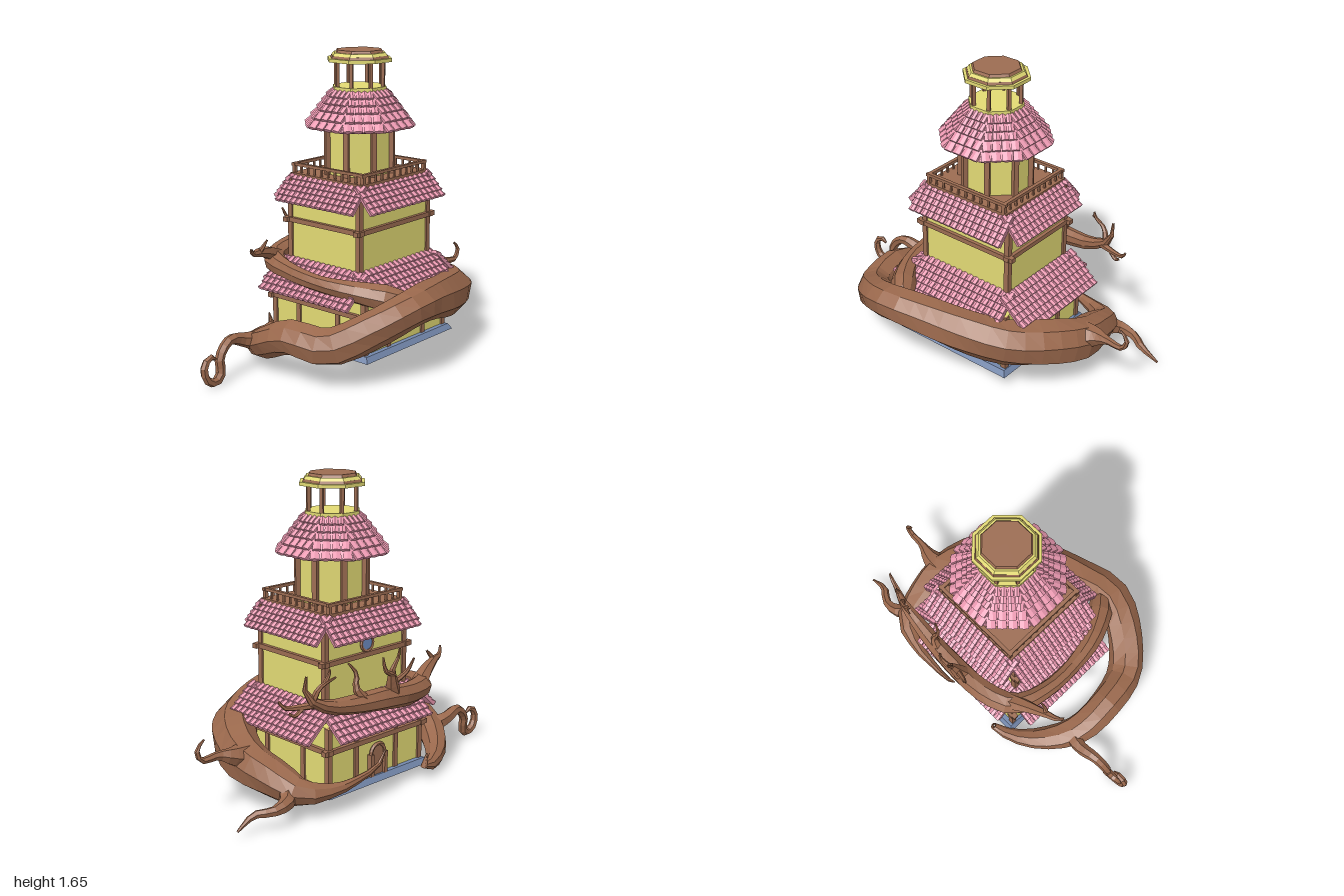
import * as THREE from 'three';
import { mergeGeometries } from 'three/addons/utils/BufferGeometryUtils.js';

const mat = (color) => new THREE.MeshStandardMaterial({ color, flatShading: true });
const wood = mat(0x9c6c52), bark = mat(0x9a684c), plaster = mat(0xe2da74), pink = mat(0xea98b0),
  slate = mat(0x7488ac), glass = mat(0x6c8cc0);
const OCT = 1 / Math.cos(Math.PI / 8);

function add(parent, name, geo, material, x = 0, y = 0, z = 0) {
  const m = new THREE.Mesh(geo, material);
  m.name = name;
  m.position.set(x, y, z);
  parent.add(m);
  return m;
}
const box = (p, name, w, h, d, material, x, y, z) => add(p, name, new THREE.BoxGeometry(w, h, d), material, x, y, z);

// Octagonal frustum given by flat-to-centre distances, flats facing the axes
function octagon(p, name, aTop, aBottom, y0, y1, material) {
  const g = new THREE.CylinderGeometry(aTop * OCT, aBottom * OCT, y1 - y0, 8).rotateY(Math.PI / 8);
  return add(p, name, g, material, 0, (y0 + y1) / 2, 0);
}

// One sloping roof side: a board with rows of barrel tiles, narrowing from wB to wT
function roofSide(p, name, { wT, wB, yT, yB, dT, dB, rows, cols, turn }) {
  const run = dB - dT, drop = yT - yB, len = Math.hypot(run, drop), theta = -Math.atan2(run, drop);
  const tile = new THREE.CylinderGeometry(0.42, 0.5, 1, 6);
  const q = new THREE.Quaternion().setFromEuler(new THREE.Euler(theta - 0.25, 0, 0));
  const parts = [];
  for (let r = 0; r < rows; r++) {
    const f = (r + 0.5) / rows, half = wT + (wB - wT) * f, w = 2 * half / cols;
    for (let c = 0; c < cols; c++) {
      const pos = new THREE.Vector3(-half + (c + 0.5) * w, yT - drop * f, dT + run * f);
      const size = new THREE.Vector3(w * 1.04, len / rows * 1.2, 0.024);
      parts.push(tile.clone().applyMatrix4(new THREE.Matrix4().compose(pos, q, size)));
    }
  }
  const side = new THREE.Group();
  side.name = name;
  side.rotation.y = turn;
  add(side, 'roofTiles', mergeGeometries(parts), pink);
  const shape = new THREE.Shape([[-wB, -len / 2], [wB, -len / 2], [wT, len / 2], [-wT, len / 2]]
    .map(([x, y]) => new THREE.Vector2(x, y)));
  const board = new THREE.ExtrudeGeometry(shape, { depth: 0.012, bevelEnabled: false });
  add(side, 'roofBoard', board.translate(0, 0, -0.015), pink, 0, (yT + yB) / 2, (dT + dB) / 2).rotation.x = theta;
  p.add(side);
}

// Four-sided skirt roof; hx, hz are the upper half sizes
function skirtRoof(p, name, hx, hz, out, yT, yB, wx, wz, rows, cols) {
  for (let i = 0; i < 4; i++) {
    const d = i % 2 ? hx : hz, w = i % 2 ? wz : wx;
    roofSide(p, name, { wT: w, wB: w, yT, yB, dT: d, dB: d + out, rows, cols, turn: i * Math.PI / 2 });
  }
}

// Timber-framed storey: plaster box, posts and a belt beam
function storey(p, name, hx, hz, y0, y1, beltY, inner) {
  const h = y1 - y0, y = (y0 + y1) / 2, t = 0.03;
  box(p, name + 'Walls', 2 * hx - 0.02, h, 2 * hz - 0.02, plaster, 0, y, 0);
  for (const s of [-1, 1]) {
    for (const k of [-1, 1]) box(p, name + 'CornerPost', t, h, t, wood, s * (hx - t / 2), y, k * (hz - t / 2));
    for (const f of inner) {
      box(p, name + 'Post', 0.028, h, 0.02, wood, f * hx, y, s * (hz - 0.01));
      box(p, name + 'Post', 0.02, h, 0.028, wood, s * (hx - 0.01), y, f * hz);
    }
    box(p, name + 'Beam', 2 * hx + 0.06, 0.026, 0.03, wood, 0, beltY, s * (hz - 0.005));
    box(p, name + 'Beam', 0.03, 0.026, 2 * hz + 0.03, wood, s * (hx - 0.005), beltY, 0);
  }
}

// Faceted limb along points [x, y, z, radius]
function limb(p, name, pts, sides = 8) {
  const curve = new THREE.CatmullRomCurve3(pts.map((a) => new THREE.Vector3(a[0], a[1], a[2])));
  const n = pts.length * 2, g = new THREE.TubeGeometry(curve, n, 1, sides);
  const pos = g.attributes.position, v = new THREE.Vector3();
  for (let i = 0; i <= n; i++) {
    const c = curve.getPointAt(i / n), t = curve.getUtoTmapping(i / n) * (pts.length - 1);
    const k = Math.min(Math.floor(t), pts.length - 2), r = THREE.MathUtils.lerp(pts[k][3], pts[k + 1][3], t - k);
    for (let j = 0; j <= sides; j++) {
      const id = i * (sides + 1) + j;
      const knot = 1 + 0.05 * Math.sin(i * 0.7 + (j % sides) * 2.4);
      v.fromBufferAttribute(pos, id).sub(c).multiplyScalar(r * knot).add(c);
      pos.setXYZ(id, v.x, v.y, v.z);
    }
  }
  g.computeVertexNormals();
  return add(p, name, g, bark);
}

function buildTower() {
  const t = new THREE.Group();
  t.name = 'tower';
  t.position.set(0.073, 0, -0.09);

  // Base plate and two square storeys
  const plate = new THREE.CylinderGeometry(0.355 * Math.SQRT2, 0.374 * Math.SQRT2, 0.03, 4).rotateY(Math.PI / 4);
  add(t, 'basePlate', plate, slate, 0, 0.085, 0);
  storey(t, 'lowerStorey', 0.35, 0.338, 0.1, 0.43, 0.305, [-0.42, 0.42]);
  skirtRoof(t, 'lowerRoof', 0.3, 0.248, 0.175, 0.53, 0.375, 0.335, 0.32, 6, 17);
  storey(t, 'upperStorey', 0.3, 0.26, 0.42, 0.97, 0.742, []);
  skirtRoof(t, 'upperRoof', 0.265, 0.238, 0.113, 0.99, 0.86, 0.31, 0.275, 5, 15);

  // Arched back door and round window
  const door = new THREE.Shape();
  door.moveTo(-0.04, 0).lineTo(0.04, 0).lineTo(0.04, 0.12).absarc(0, 0.12, 0.04, 0, Math.PI);
  add(t, 'door', new THREE.ExtrudeGeometry(door, { depth: 0.02, bevelEnabled: false }), wood, 0, 0.1, -0.345);
  add(t, 'doorArch', new THREE.TorusGeometry(0.05, 0.011, 5, 10, Math.PI), wood, 0, 0.22, -0.345);
  for (const s of [-1, 1]) box(t, 'doorJamb', 0.022, 0.12, 0.03, wood, s * 0.05, 0.16, -0.345);
  add(t, 'windowGlass', new THREE.CylinderGeometry(0.042, 0.042, 0.02, 12).rotateX(Math.PI / 2), glass, 0, 0.8, -0.252);
  add(t, 'windowFrame', new THREE.TorusGeometry(0.042, 0.009, 5, 12), wood, 0, 0.8, -0.26);

  // Balcony deck and railing
  box(t, 'balconyDeck', 0.55, 0.025, 0.51, wood, 0, 0.985, 0);
  for (const s of [-1, 1]) {
    box(t, 'handrail', 0.54, 0.016, 0.02, wood, 0, 1.043, s * 0.245);
    box(t, 'handrail', 0.02, 0.016, 0.51, wood, s * 0.255, 1.043, 0);
    for (let i = 0; i <= 10; i++) {
      const f = i / 5 - 1, w = i % 10 ? 0.01 : 0.02;
      box(t, 'baluster', w, 0.05, w, wood, f * 0.255, 1.015, s * 0.245);
      if (i % 10) box(t, 'baluster', w, 0.05, w, wood, s * 0.255, 1.015, f * 0.245);
    }
  }

  // Octagonal room, slightly shallower than wide
  const room = new THREE.Group();
  room.name = 'octagonRoom';
  room.scale.z = 0.89;
  t.add(room);
  octagon(room, 'roomWalls', 0.18, 0.18, 0.98, 1.32, plaster);

  // Top roof and open lantern
  octagon(t, 'topRoofCore', 0.125, 0.25, 1.265, 1.45, pink);
  octagon(t, 'lanternFloor', 0.14, 0.14, 1.445, 1.468, plaster);
  for (let i = 0; i < 8; i++) {
    const a = (i + 0.5) * Math.PI / 4, c = Math.cos(a) * OCT, s = Math.sin(a) * OCT;
    box(room, 'roomPost', 0.03, 0.32, 0.03, wood, 0.185 * c, 1.14, 0.185 * s).rotation.y = -a;
    box(t, 'lanternPost', 0.018, 0.15, 0.018, wood, 0.123 * c, 1.535, 0.123 * s).rotation.y = -a;
    const turn = i * Math.PI / 4;
    roofSide(t, 'topRoofUpper', { wT: 0.058, wB: 0.091, yT: 1.45, yB: 1.345, dT: 0.14, dB: 0.218, rows: 3, cols: 4, turn });
    roofSide(t, 'topRoofLower', { wT: 0.091, wB: 0.116, yT: 1.345, yB: 1.258, dT: 0.218, dB: 0.28, rows: 2, cols: 4, turn });
  }
  octagon(t, 'capEave', 0.168, 0.168, 1.6, 1.619, plaster);
  octagon(t, 'capStep', 0.148, 0.153, 1.619, 1.632, wood);
  octagon(t, 'capRing', 0.135, 0.147, 1.632, 1.648, plaster);
  octagon(t, 'capTop', 0.118, 0.125, 1.648, 1.662, wood);
  return t;
}

function buildTree() {
  const t = new THREE.Group();
  t.name = 'tree';
  // Main trunk wrapping round the front and both sides
  limb(t, 'trunk', [[0.1, 0.27, -0.52, 0.004], [0.16, 0.2, -0.525, 0.012], [0.3, 0.16, -0.52, 0.02],
    [0.46, 0.14, -0.5, 0.035], [0.61, 0.145, -0.42, 0.075], [0.645, 0.185, -0.28, 0.098],
    [0.66, 0.23, -0.08, 0.118], [0.585, 0.275, 0.11, 0.125], [0.45, 0.3, 0.26, 0.125], [0.25, 0.335, 0.36, 0.12],
    [0, 0.375, 0.44, 0.105], [-0.19, 0.385, 0.475, 0.098], [-0.39, 0.31, 0.385, 0.1], [-0.545, 0.225, 0.235, 0.1],
    [-0.595, 0.24, 0.02, 0.092], [-0.575, 0.155, -0.2, 0.085], [-0.46, 0.095, -0.37, 0.065], [-0.33, 0.075, -0.47, 0.04],
    [-0.22, 0.08, -0.51, 0.022], [-0.19, 0.13, -0.52, 0.014], [-0.22, 0.16, -0.52, 0.004]]);
  // Upper limb over the lower roof and across the back
  limb(t, 'upperLimb', [[-0.12, 0.39, 0.44, 0.03], [-0.2, 0.42, 0.37, 0.075], [-0.3, 0.45, 0.2, 0.058],
    [-0.345, 0.465, 0, 0.045], [-0.345, 0.49, -0.22, 0.048], [-0.28, 0.51, -0.41, 0.062], [-0.1, 0.52, -0.485, 0.062],
    [0.1, 0.54, -0.495, 0.06], [0.3, 0.55, -0.485, 0.05], [0.45, 0.57, -0.47, 0.038], [0.56, 0.62, -0.46, 0.024],
    [0.6, 0.68, -0.45, 0.014], [0.6, 0.76, -0.46, 0.006]]);
  // Curled root, tail twigs and the branch clusters
  const twigs = {
    curledRoot: [[-0.54, 0.14, -0.22, 0.06], [-0.66, 0.18, -0.26, 0.04], [-0.78, 0.21, -0.25, 0.028],
      [-0.855, 0.14, -0.24, 0.026], [-0.86, 0.06, -0.23, 0.025], [-0.91, 0.025, -0.22, 0.024],
      [-0.965, 0.055, -0.22, 0.022], [-0.98, 0.13, -0.22, 0.02], [-0.94, 0.17, -0.22, 0.018], [-0.9, 0.15, -0.22, 0.006]],
    sideTwig: [[0.66, 0.26, -0.08, 0.09], [0.77, 0.29, -0.09, 0.05], [0.85, 0.31, -0.075, 0.022],
      [0.95, 0.31, -0.07, 0.016], [0.975, 0.37, -0.07, 0.013], [0.93, 0.415, -0.07, 0.005]],
    tailTwig: [[0.63, 0.16, -0.33, 0.065], [0.7, 0.13, -0.43, 0.04], [0.8, 0.11, -0.44, 0.025],
      [0.88, 0.1, -0.39, 0.021], [0.99, 0.045, -0.39, 0.006]],
    leftBranch: [[-0.25, 0.52, -0.42, 0.05], [-0.36, 0.57, -0.38, 0.035], [-0.47, 0.6, -0.34, 0.022],
      [-0.53, 0.61, -0.32, 0.014], [-0.56, 0.65, -0.3, 0.006]],
    leftTwig: [[-0.46, 0.6, -0.34, 0.016], [-0.44, 0.63, -0.33, 0.011], [-0.41, 0.66, -0.33, 0.005]],
    rightTwig: [[0.53, 0.6, -0.46, 0.022], [0.63, 0.6, -0.43, 0.015], [0.7, 0.61, -0.41, 0.012], [0.73, 0.65, -0.4, 0.005]],
    rightLowTwig: [[0.6, 0.6, -0.44, 0.014], [0.65, 0.56, -0.43, 0.01], [0.68, 0.58, -0.42, 0.005]],
    rightUpperTwig: [[0.56, 0.62, -0.46, 0.02], [0.53, 0.69, -0.48, 0.013], [0.44, 0.73, -0.5, 0.005]],
    rightForkTwig: [[0.5, 0.71, -0.485, 0.011], [0.47, 0.74, -0.48, 0.009], [0.46, 0.77, -0.48, 0.005]],
    backBranch: [[0.02, 0.53, -0.49, 0.05], [0.06, 0.62, -0.52, 0.032], [0.08, 0.7, -0.54, 0.016],
      [0.05, 0.76, -0.55, 0.01], [0.06, 0.82, -0.57, 0.005]],
    backTwig: [[0.07, 0.67, -0.54, 0.016], [0.14, 0.71, -0.55, 0.011], [0.15, 0.78, -0.54, 0.005]],
    backSideTwig: [[0.05, 0.62, -0.52, 0.016], [-0.03, 0.67, -0.54, 0.011], [-0.06, 0.74, -0.56, 0.005]],
    backRightBranch: [[0.22, 0.55, -0.5, 0.035], [0.28, 0.63, -0.48, 0.018], [0.26, 0.7, -0.46, 0.011], [0.3, 0.76, -0.44, 0.005]],
  };
  for (const [name, pts] of Object.entries(twigs)) limb(t, name, pts, 6);
  return t;
}

export function createModel() {
  const model = new THREE.Group();
  model.name = 'treeTower';
  model.add(buildTower(), buildTree());
  return model;
}
